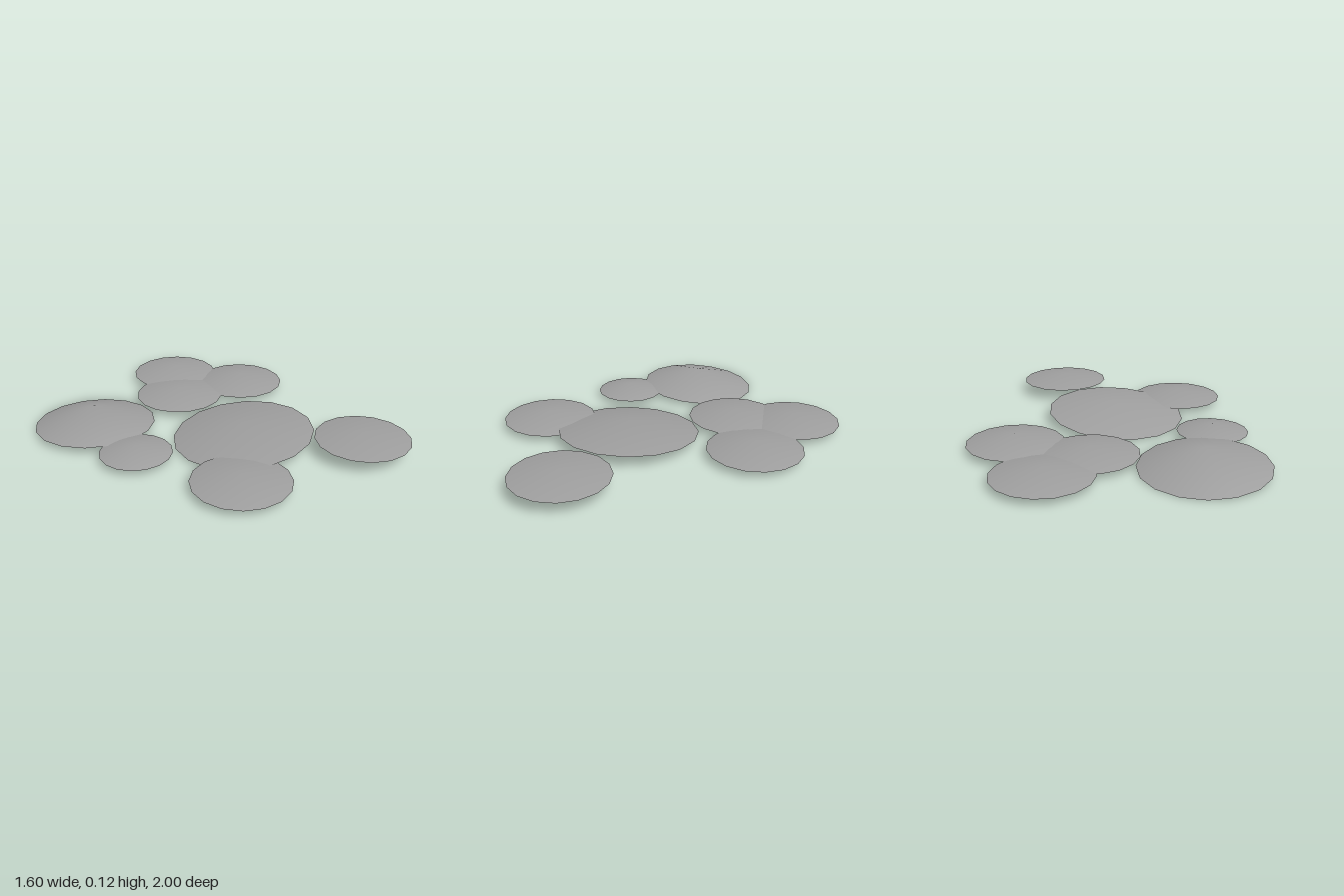
import * as THREE from 'three';
import { mergeVertices } from 'three/addons/utils/BufferGeometryUtils.js';

// Each pad is a shallow open cone: centre x, z, radius, rim height, cone height,
// slope along x, slope along z, turn of the rim corners
const PADS = [
  ['largePad', 0.003, 0.17, 0.398, 0.04, 0.065, 0.065, 0.06, -0.12],
  ['steepPad', -0.455, -0.58, 0.347, 0.02, 0.104, -0.03, 0.05, -0.05],
  ['smallPad', -0.543, -0.123, 0.2, 0.034, 0.044, 0, 0, -0.06],
  ['backPad', 0.345, -0.735, 0.266, 0.038, 0.046, 0, 0, -0.05],
  ['middlePad', 0.127, -0.468, 0.264, 0.038, 0.046, 0, 0, -0.15],
  ['sidePad', 0.536, -0.322, 0.266, 0.038, 0.051, 0, 0, -0.05],
  ['cornerPad', -0.383, 0.492, 0.266, 0.038, 0.046, 0, 0, -0.03],
  ['frontPad', 0.355, 0.732, 0.266, 0.073, 0.039, 0, 0, -0.05],
];
const SIDES = 16;

// Cone with one shared tip, so the shading runs smoothly over the top
function padGeometry(radius, height, turn) {
  const cone = new THREE.ConeGeometry(radius, height, SIDES, 1, true);
  cone.deleteAttribute('normal');
  cone.deleteAttribute('uv');
  const pad = mergeVertices(cone, 1e-4);
  pad.computeVertexNormals();
  pad.rotateY(turn);
  pad.translate(0, height / 2, 0); // rim centre becomes the pivot
  return pad;
}

export function createModel() {
  const model = new THREE.Group();
  model.name = 'padCluster';
  const material = new THREE.MeshStandardMaterial({ color: 0xa0a0a0, side: THREE.DoubleSide });

  for (const [name, x, z, radius, rimY, height, slopeX, slopeZ, turn] of PADS) {
    const pad = new THREE.Mesh(padGeometry(radius, height, turn), material);
    pad.name = name;
    pad.position.set(x, rimY, z);
    pad.rotation.set(-Math.atan(slopeZ), 0, Math.atan(slopeX));
    model.add(pad);
  }
  return model;
}
